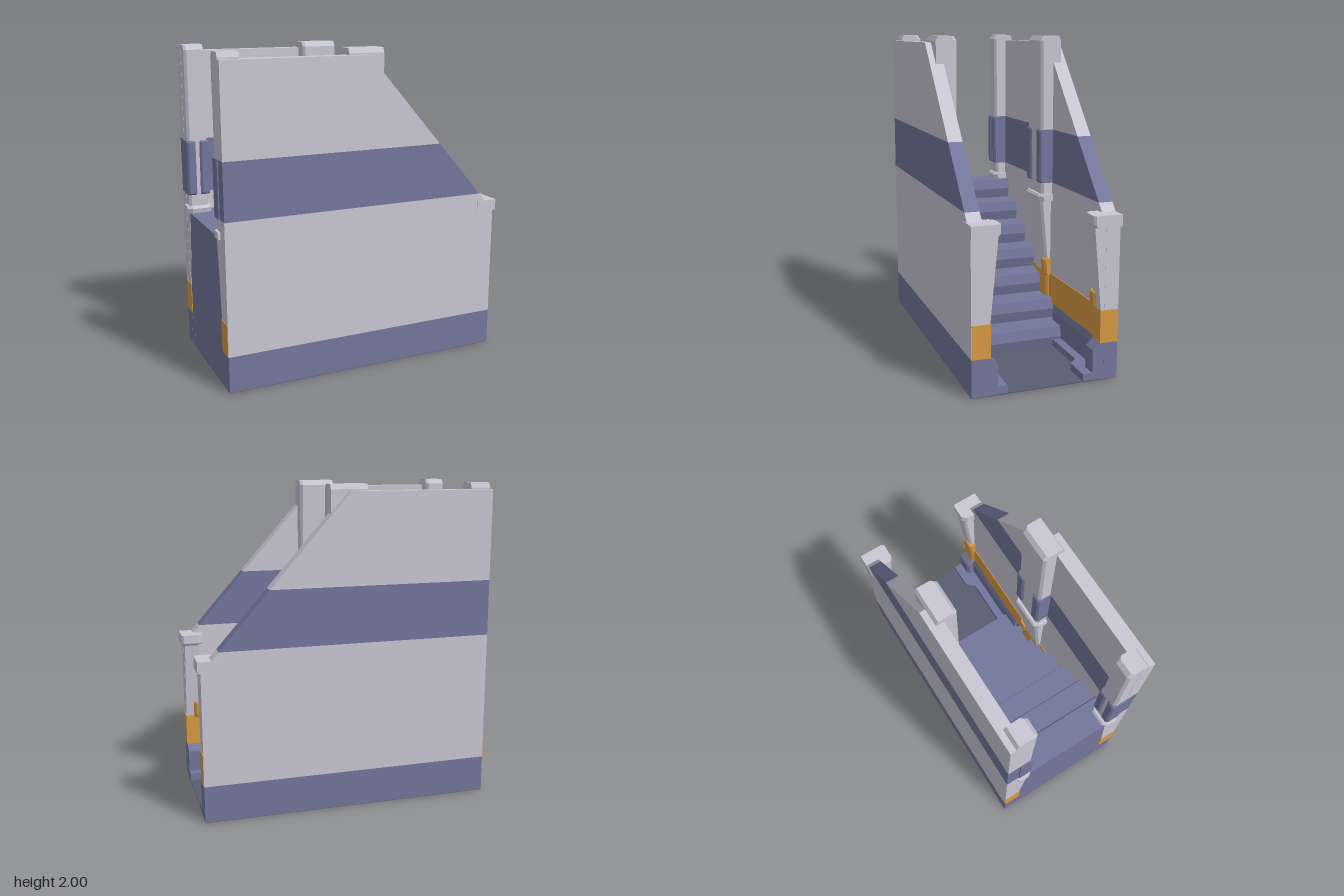
import * as THREE from 'three';

export function createModel() {
  const mat = (name, color) => {
    const m = new THREE.MeshStandardMaterial({ color });
    m.name = name;
    return m;
  };
  const grey = mat('paleGrey', 0xc8c7d4), blue = mat('slateBlue', 0x73779c);
  const orange = mat('orange', 0xd89a45), dark = mat('darkFloor', 0x585d70);

  const model = new THREE.Group();
  model.name = 'walledStaircase';
  const END = 0.912, OUT = 0.453, IN = 0.365;

  function add(geo, material, name) {
    const g = geo.index ? geo.toNonIndexed() : geo;
    g.computeVertexNormals();
    const m = new THREE.Mesh(g, material);
    m.name = name;
    model.add(m);
  }

  // Adds a part on the +z side and its mirror image on the -z side
  function addPair(geo, material, name) {
    const g = geo.index ? geo.toNonIndexed() : geo;
    const r = g.clone(), p = r.attributes.position, q = g.attributes.position;
    for (let i = 0; i < p.count; i += 3)
      [0, 2, 1].forEach((k, j) => p.setXYZ(i + j, q.getX(i + k), q.getY(i + k), -q.getZ(i + k)));
    add(g, material, name + 'Front');
    add(r, material, name + 'Back');
  }

  function box(x0, x1, y0, y1, z0, z1) {
    return new THREE.BoxGeometry(x1 - x0, y1 - y0, z1 - z0)
      .translate((x0 + x1) / 2, (y0 + y1) / 2, (z0 + z1) / 2);
  }

  // Extrudes an x-y outline between two depths
  function slab(points, z0, z1) {
    const shape = new THREE.Shape(points.map(([x, y]) => new THREE.Vector2(x, y)));
    return new THREE.ExtrudeGeometry(shape, { depth: z1 - z0, bevelEnabled: false }).translate(0, 0, z0);
  }

  // Stacked rings [y, inner z, outer z], with chamfers c0 and c1 on the inner corners
  function loft(x0, x1, rings, c0 = 0, c1 = c0) {
    const pos = [], idx = [], n = 6;
    for (const [y, zi, zo] of rings) {
      const ring = [[x0, zo], [x0, zi + c0], [x0 + c0, zi], [x1 - c1, zi], [x1, zi + c1], [x1, zo]];
      ring.forEach(([x, z]) => pos.push(x, y, z));
    }
    for (let k = 0; k < rings.length - 1; k++)
      for (let i = 0; i < n; i++) {
        const a = k * n + i, b = k * n + (i + 1) % n;
        idx.push(b, a, a + n, b, a + n, b + n);
      }
    const t = (rings.length - 1) * n;
    for (let i = 1; i < n - 1; i++) idx.push(0, i, i + 1, t, t + i + 1, t + i);
    const g = new THREE.BufferGeometry();
    g.setAttribute('position', new THREE.Float32BufferAttribute(pos, 3));
    g.setIndex(idx);
    return g;
  }

  // Side walls in coloured bands, cut by the sloping front edge
  const edge = y => 0.847 * (1.96 - y) / 0.96;
  const wall = (name, m, y0, y1) => {
    const right = y0 >= 1 ? [[edge(y0), y0]] : [[END, y0]];
    if (y0 < 1 && y1 > 1) right.push([END, 1], [0.847, 1]);
    right.push([y1 > 1 ? edge(y1) : END, y1]);
    addPair(slab([[-END, y0], ...right, [-END, y1]], IN, OUT), m, name);
  };
  wall('wallBase', blue, 0.003, 0.23);
  wall('wallLower', grey, 0.23, 1.05);
  wall('wallStripe', blue, 1.05, 1.4);
  wall('wallTop', grey, 1.4, 1.96);

  // Orange stripe on the inner wall faces and the wall ends
  addPair(box(-0.9, 0.9, 0.23, 0.43, IN - 0.005, IN + 0.002), orange, 'innerStripe');
  for (const s of [-1, 1]) {
    const x = s * (END + 0.001);
    addPair(box(x - 0.002, x + 0.002, 0.23, 0.43, 0.338, OUT - 0.001), orange, 'endStripe');
  }

  // Staircase: each riser leans out, then tucks back under
  const steps = 7, rise = 0.93 / steps, run = 0.175, profile = [[-0.91, 0.003], [-0.91, 0.93]];
  for (let i = 0; i < steps; i++) {
    const x = -0.725 + i * run, y = 0.93 - i * rise;
    profile.push([x, y], [x + 0.016, y - rise / 2], [x, Math.max(y - rise, 0.003)]);
  }
  add(slab(profile.reverse(), -IN, IN), blue, 'stairs');

  // Floor plate
  add(box(-0.911, 0.911, 0, 0.006, -0.452, 0.452), dark, 'floorPlate');

  // Kick strip along the lower walls and the wider curb at the entrance
  addPair(loft(0.2, 0.9, [[0.004, 0.29, IN], [0.05, 0.29, IN], [0.05, 0.345, IN],
    [0.19, 0.345, IN], [0.23, 0.36, IN]]), blue, 'kickStrip');
  addPair(loft(0.68, 0.911, [[0.004, 0.235, 0.4], [0.05, 0.235, 0.4]], 0.055, 0), blue, 'entranceCurb');

  // Posts: blue foot, orange band, leaning grey shaft
  function lowerPost(name, x0, x1, c0, c1) {
    addPair(loft(x0, x1, [[0.004, 0.295, 0.4], [0.19, 0.295, 0.4], [0.23, 0.34, 0.4]], c0, c1), blue, name + 'Foot');
    addPair(loft(x0, x1, [[0.23, 0.34, 0.4], [0.43, 0.34, 0.4]], c0, c1), orange, name + 'Band');
    addPair(loft(x0, x1, [[0.43, 0.34, 0.4], [0.95, 0.29, 0.4]], c0, c1), grey, name + 'Shaft');
  }
  lowerPost('entrancePost', 0.8, 0.911, 0.015, 0);
  lowerPost('middlePost', -0.1, 0.1, 0.015, 0.015);
  lowerPost('rearPost', -0.911, -0.8, 0, 0.015);

  // Caps on the entrance posts, and small corner pads
  addPair(loft(0.79, 0.93, [[0.93, 0.29, 0.457], [0.945, 0.28, 0.457], [1, 0.28, 0.457]], 0.03, 0.012), grey, 'entranceCap');
  for (const [x0, x1] of [[0.79, 0.86], [0.04, 0.11]])
    addPair(loft(x0, x1, [[0.42, 0.33, IN], [0.43, 0.325, IN], [0.52, 0.316, IN], [0.53, 0.322, IN]], 0.015), orange, 'cornerPad');

  // Tall upper posts with a rim, an overhanging head and blue corner guards
  for (const [name, x0, x1] of [['middle', -0.115, 0.115], ['rear', -0.911, -0.785]]) {
    addPair(loft(x0 - 0.017, x1 + 0.017, [[0.93, 0.275, 0.37], [0.96, 0.268, 0.37], [0.975, 0.28, 0.37]], 0.03), grey, name + 'Rim');
    addPair(loft(x0, x1, [[0.97, 0.295, 0.37], [1.4, 0.285, 0.37], [1.83, 0.28, 0.37]], 0.015), grey, name + 'UpperPost');
    addPair(loft(x0, x1, [[1.83, 0.28, 0.415], [1.97, 0.278, 0.415], [2, 0.3, 0.4]], 0.015), grey, name + 'Head');
    const w = Math.min(0.065, (x1 - x0) * 0.4);
    for (const [a, b] of [[x0 - 0.008, x0 + w], [x1 - w, x1 + 0.008]])
      addPair(loft(a, b, [[1.05, 0.283, 0.37], [1.06, 0.275, 0.37], [1.39, 0.272, 0.37], [1.4, 0.28, 0.37]], 0.012), blue, name + 'Guard');
  }

  // Slight turn about the vertical axis
  model.rotation.y = -0.033;
  const group = new THREE.Group();
  group.name = 'staircase';
  group.add(model);
  return group;
}
